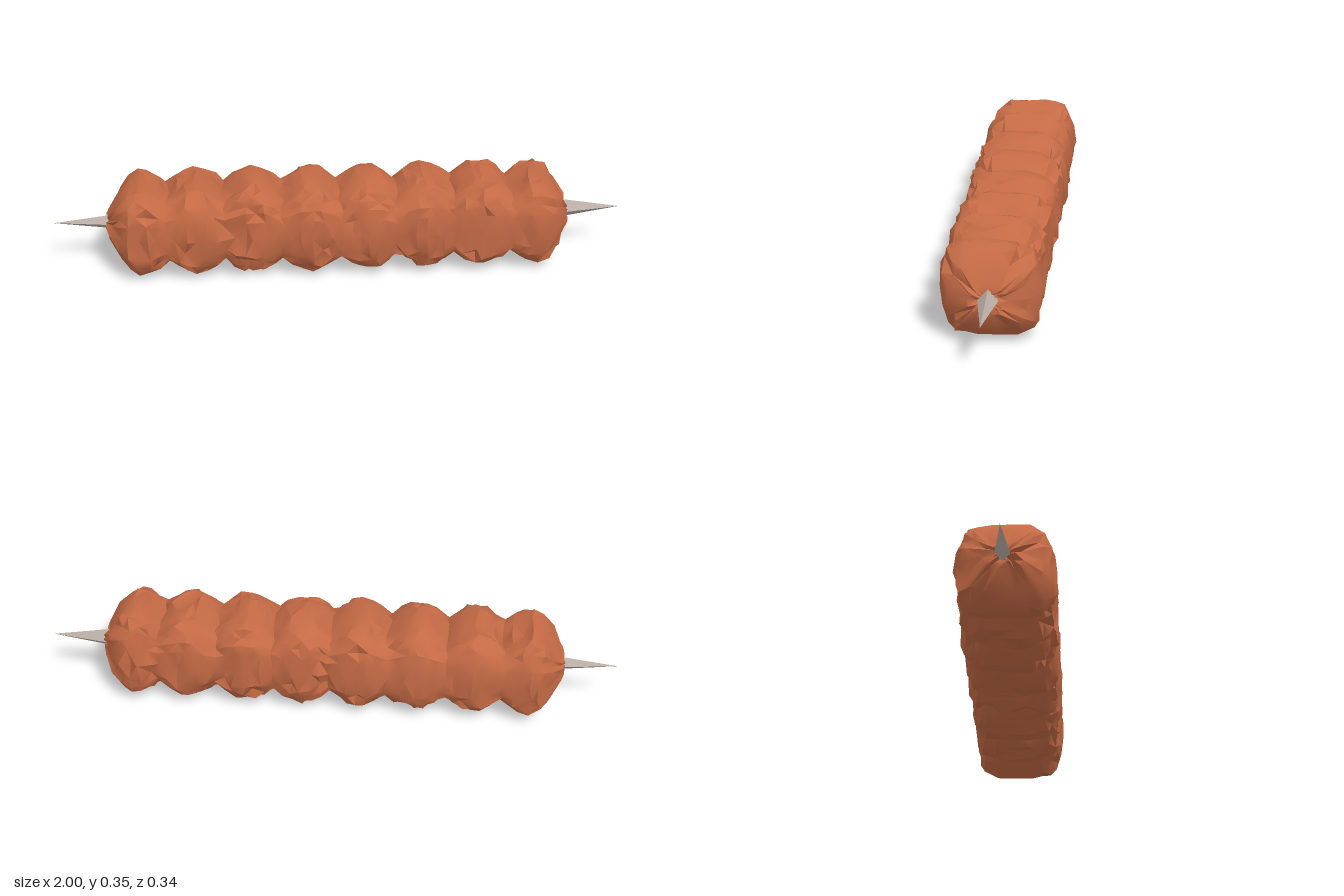
import * as THREE from 'three';
import { toCreasedNormals } from 'three/addons/utils/BufferGeometryUtils.js';

const MID = 0.173; // height of the skewer axis
const SIDES = 26;

// Small seeded generator for the rough surface
function seeded(seed) {
  return () => {
    seed = (seed * 1664525 + 1013904223) % 4294967296;
    return seed / 4294967296;
  };
}

// Half height and half depth of the meat at x: eight lumps 0.2 apart
function sectionAt(x) {
  const lump = Math.abs(Math.cos(Math.PI * (x - 0.1) / 0.2));
  const end = Math.max(0, (Math.abs(x) - 0.68) / 0.13);
  const taper = Math.pow(Math.max(0, 1 - Math.pow(end, 2.4)), 0.5);
  const smaller = Math.abs(x) > 0.6 ? 0.93 : 1;
  return [(0.114 + 0.056 * lump * smaller) * taper, (0.15 + 0.016 * lump) * taper];
}

// Lofted lumpy body with a rounded square section
function meatGeometry() {
  const random = seeded(17);
  const rings = [];
  for (let i = -24; i <= 24; i++) rings.push([i / 30, ...sectionAt(i / 30)]);
  // Blunt closed ends
  const [h, d] = sectionAt(0.8);
  for (const s of [0.6, 0.25, 0]) {
    rings.unshift([-0.808, h * s, d * s]);
    rings.push([0.803, h * s, d * s]);
  }
  const positions = [];
  const index = [];
  const power = (v) => Math.sign(v) * Math.pow(Math.abs(v), 0.62);
  rings.forEach(([x, ry, rz], i) => {
    for (let j = 0; j < SIDES; j++) {
      const a = (j / SIDES) * Math.PI * 2;
      // Mostly shallow roughness, with a few deeper pits
      const dent = 1.03 - 0.09 * random() - (random() < 0.12 ? 0.1 : 0);
      const shift = ry > 0 ? (random() - 0.5) * 0.018 : 0;
      positions.push(x + shift, MID + ry * power(Math.sin(a)) * dent, rz * power(Math.cos(a)) * dent);
      if (i < rings.length - 1) {
        const k = (j + 1) % SIDES;
        const p = i * SIDES + j, q = p + SIDES, r = i * SIDES + k, s = r + SIDES;
        if ((i + j) % 2) index.push(p, q, r, q, s, r);
        else index.push(p, q, s, p, s, r);
      }
    }
  });
  const geometry = new THREE.BufferGeometry();
  geometry.setAttribute('position', new THREE.Float32BufferAttribute(positions, 3));
  geometry.setIndex(index);
  return toCreasedNormals(geometry, 0.6);
}

export function createModel() {
  const model = new THREE.Group();
  model.name = 'meatSkewer';
  const meatBrown = new THREE.MeshStandardMaterial({ name: 'meatBrown', color: 0xc46a45 });
  const skewerGrey = new THREE.MeshStandardMaterial({ name: 'skewerGrey', color: 0xb8aca4 });

  const add = (name, geometry, material) => {
    const mesh = new THREE.Mesh(geometry, material);
    mesh.name = name;
    model.add(mesh);
  };

  add('meat', meatGeometry(), meatBrown);

  // Rod running through the meat
  const rod = new THREE.CylinderGeometry(0.03, 0.03, 1.56, 5).toNonIndexed();
  rod.rotateZ(Math.PI / 2).translate(0, MID, 0).computeVertexNormals();
  add('skewerRod', rod, skewerGrey);

  // Pointed tips
  for (const [name, side, radius] of [['leftTip', 1, 0.044], ['rightTip', -1, 0.034]]) {
    const tip = new THREE.ConeGeometry(radius, 0.26, 4).toNonIndexed();
    tip.rotateX(0).rotateZ(-side * Math.PI / 2).translate(side * 0.87, MID + 0.003, -0.003);
    tip.computeVertexNormals();
    add(name, tip, skewerGrey);
  }
  return model;
}
